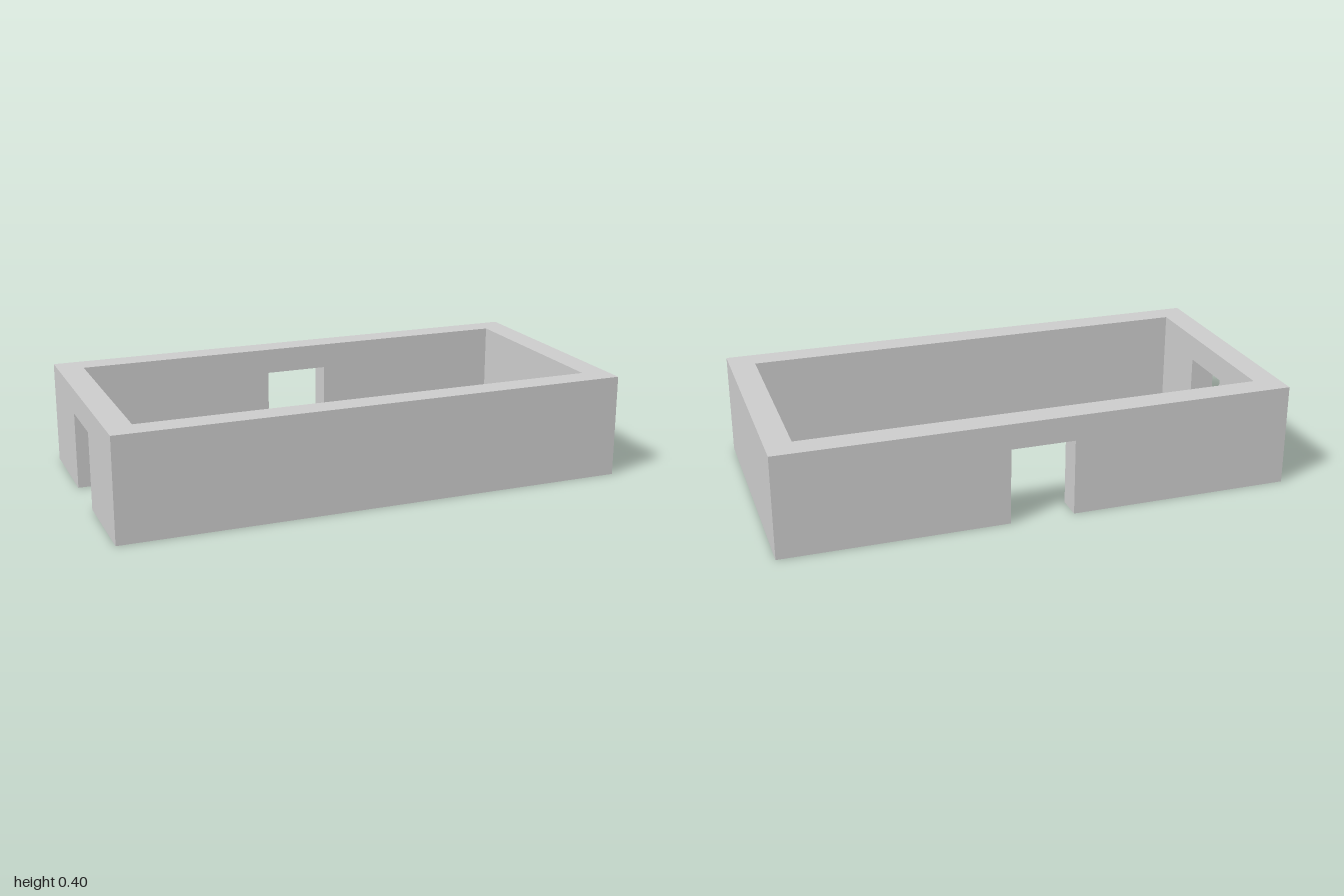
import * as THREE from 'three';

const LENGTH = 2, DEPTH = 1, HEIGHT = 0.4, THICK = 0.1;
const DOOR_HALF = 0.125, DOOR_HEIGHT = 0.3;

const material = new THREE.MeshStandardMaterial({ color: 0xcccccc, flatShading: true });

// Upright wall along x, centred on its thickness, with an optional doorway down to the floor
function wall(name, length, hasDoor) {
  const h = length / 2;
  const outline = [[-h, 0]];
  if (hasDoor) {
    outline.push([-DOOR_HALF, 0], [-DOOR_HALF, DOOR_HEIGHT], [DOOR_HALF, DOOR_HEIGHT], [DOOR_HALF, 0]);
  }
  outline.push([h, 0], [h, HEIGHT], [-h, HEIGHT]);
  const shape = new THREE.Shape(outline.map(([x, y]) => new THREE.Vector2(x, y)));
  const geometry = new THREE.ExtrudeGeometry(shape, { depth: THICK, bevelEnabled: false });
  geometry.translate(0, 0, -THICK / 2);
  const mesh = new THREE.Mesh(geometry, material);
  mesh.name = name;
  return mesh;
}

export function createModel() {
  const model = new THREE.Group();
  model.name = 'walledEnclosure';

  // Long walls: solid front, back with a central doorway
  const front = wall('frontWall', LENGTH, false);
  front.position.z = (DEPTH - THICK) / 2;
  const back = wall('backWall', LENGTH, true);
  back.position.z = -(DEPTH - THICK) / 2;

  // Short walls fitted between the long ones: solid left, right with a doorway
  const left = wall('leftWall', DEPTH - 2 * THICK, false);
  left.position.x = (LENGTH - THICK) / 2;
  const right = wall('rightWall', DEPTH - 2 * THICK, true);
  right.position.x = -(LENGTH - THICK) / 2;
  for (const side of [left, right]) side.rotation.y = Math.PI / 2;

  model.add(front, back, left, right);
  return model;
}
